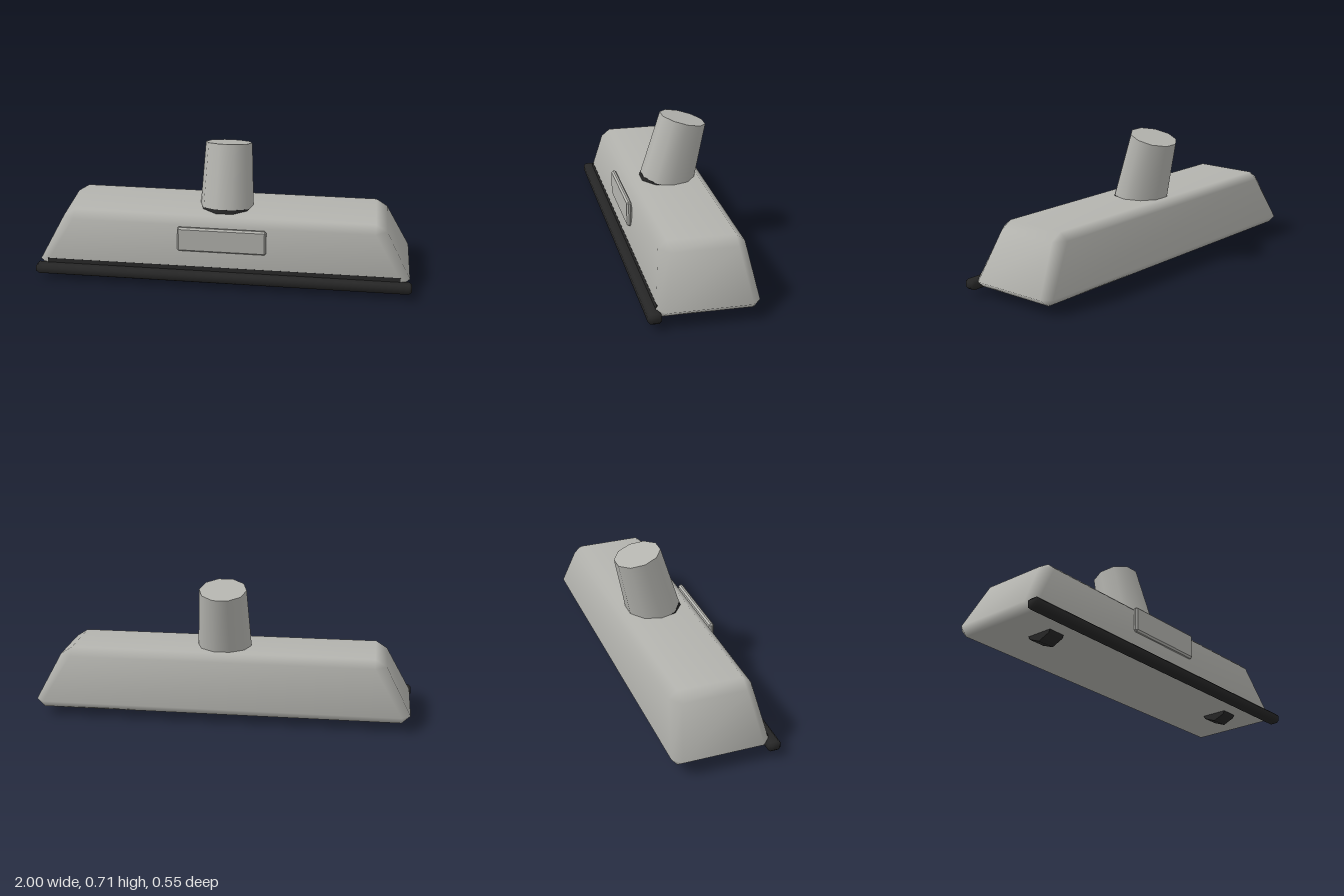
import * as THREE from 'three';
import { mergeVertices } from 'three/addons/utils/BufferGeometryUtils.js';

// Stack of eight-sided loops [y, outerX, innerX, outerZ, innerZ], capped at both ends
function loft(levels, flat = false) {
  const pos = [], idx = [];
  for (const [y, X, xc, Z, zc] of levels) {
    pos.push(X, y, zc, X, y, -zc, xc, y, -Z, -xc, y, -Z,
      -X, y, -zc, -X, y, zc, -xc, y, Z, xc, y, Z);
  }
  for (let l = 0; l < levels.length - 1; l++) {
    for (let i = 0; i < 8; i++) {
      const a = l * 8 + i, b = l * 8 + (i + 1) % 8;
      idx.push(a, b, b + 8, a, b + 8, a + 8);
    }
  }
  const top = (levels.length - 1) * 8;
  for (let i = 1; i < 7; i++) {
    idx.push(0, i + 1, i, top, top + i, top + i + 1);
  }
  let g = new THREE.BufferGeometry();
  g.setAttribute('position', new THREE.Float32BufferAttribute(pos, 3));
  g.setIndex(idx);
  g = mergeVertices(g);
  if (flat) g = g.toNonIndexed();
  g.computeVertexNormals();
  return g;
}

// Box with every edge chamfered by b
function chamferBox(w, h, d, b, flat) {
  const x = w / 2, y = h / 2, z = d / 2;
  const end = [x - b, x - b, z - b, z - b], mid = [x, x - b, z, z - b];
  return loft([[-y, ...end], [-y + b, ...mid], [y - b, ...mid], [y, ...end]], flat);
}

export function createModel() {
  const model = new THREE.Group();
  model.name = 'floorHead';
  const grey = new THREE.MeshStandardMaterial({ color: 0xb4b4af });
  grey.name = 'greyPlastic';
  const black = new THREE.MeshStandardMaterial({ color: 0x262626 });
  black.name = 'blackRubber';

  const add = (name, geometry, material, x, y, z, parent = model) => {
    const mesh = new THREE.Mesh(geometry, material);
    mesh.name = name;
    mesh.position.set(x, y, z);
    parent.add(mesh);
    return mesh;
  };

  // Tapered housing with chamfered edges
  add('housing', loft([
    [0.043, 0.945, 0.945, 0.222, 0.222],
    [0.08, 0.99, 0.945, 0.2525, 0.21],
    [0.325, 0.86, 0.80, 0.2135, 0.168],
    [0.363, 0.80, 0.80, 0.168, 0.168],
  ]), grey, 0, 0, -0.0225);

  // Front bumper and the thin seam above it
  add('bumper', chamferBox(2, 0.052, 0.068, 0.014), black, 0, 0.055, 0.244);
  const seam = add('bumperSeam', new THREE.BoxGeometry(1.88, 0.026, 0.005), black, 0, 0.09, 0.2268);
  seam.rotation.x = -0.16;

  // Raised front plate
  add('frontPlate', chamferBox(0.47, 0.136, 0.027, 0.009, true), grey, 0, 0.257, 0.2185);

  // Ten-sided tapered neck leaning back, with a dark ring at its root
  const neck = new THREE.Group();
  neck.name = 'neck';
  neck.position.set(0, 0.685, -0.115);
  neck.rotation.x = -0.253;
  model.add(neck);
  const tube = (rTop, rBottom, h) =>
    new THREE.CylinderGeometry(rTop, rBottom, h, 10, 1, false, Math.PI / 2);
  add('neckTube', tube(0.125, 0.147, 0.4), grey, 0, -0.2, 0, neck);
  add('neckRing', tube(0.1452, 0.148, 0.05), black, 0, -0.372, 0, neck);

  // Two eight-sided wheels set into the underside
  for (const side of [-1, 1]) {
    const wheel = add(side > 0 ? 'leftWheel' : 'rightWheel',
      new THREE.CylinderGeometry(0.09, 0.09, 0.094, 8), black, side * 0.707, 0.09, 0.057);
    wheel.rotation.z = Math.PI / 2;
  }
  return model;
}
